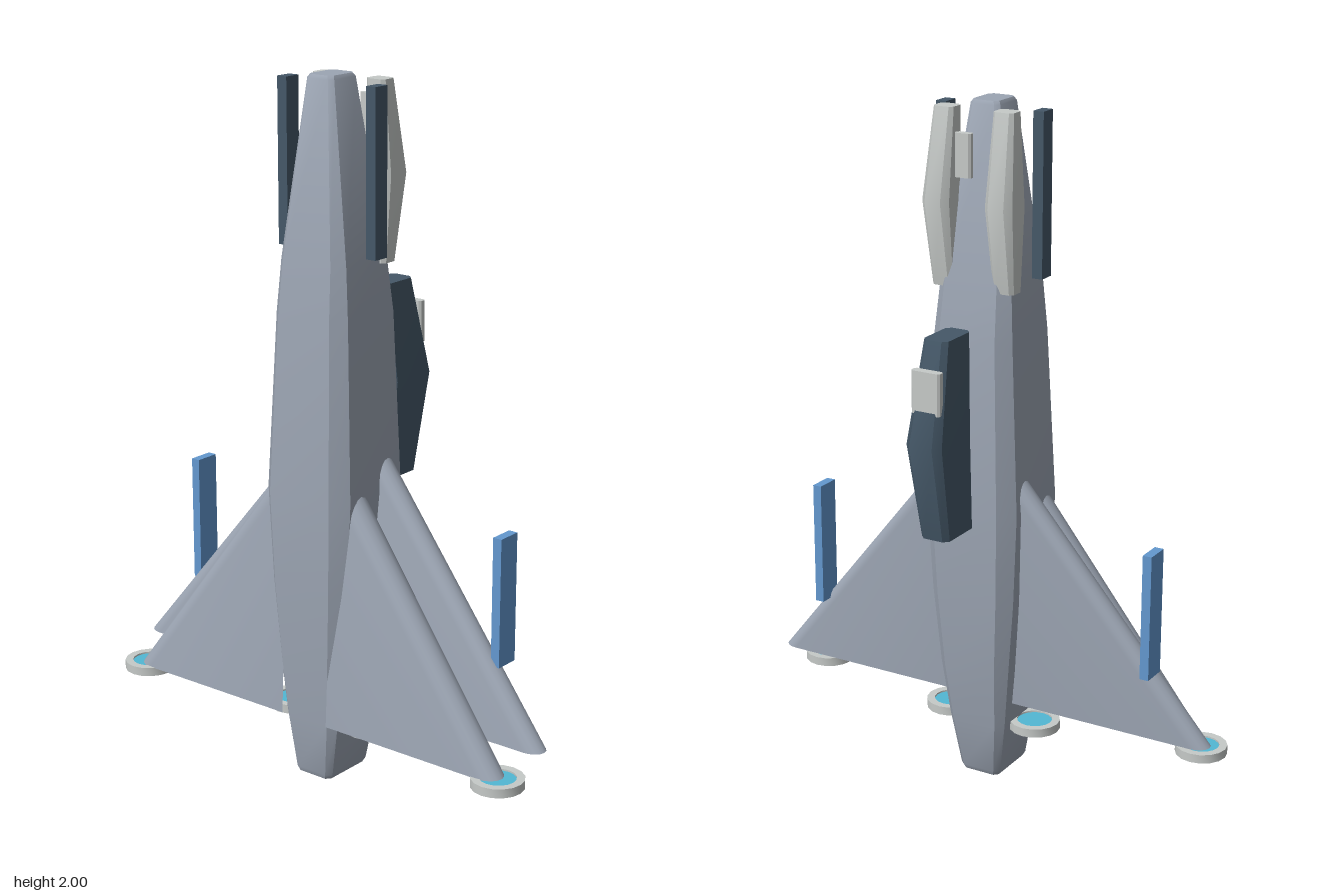
import * as THREE from 'three';
import { toCreasedNormals } from 'three/addons/utils/BufferGeometryUtils.js';

// Build a geometry from polygons (each a list of [x, y, z]), fanned into triangles
function fromPolygons(polys, crease = 0.6) {
  const out = [];
  for (const p of polys)
    for (let i = 1; i < p.length - 1; i++) out.push(...p[0], ...p[i], ...p[i + 1]);
  const g = new THREE.BufferGeometry();
  g.setAttribute('position', new THREE.Float32BufferAttribute(out, 3));
  return toCreasedNormals(g, crease);
}

// Loft chamfered rectangles upward; section = [y, x0, x1, z0, z1, chamfer]
function loft(sections) {
  const rings = sections.map(([y, x0, x1, z0, z1, c]) => [
    [x0 + c, y, z1], [x1 - c, y, z1], [x1, y, z1 - c], [x1, y, z0 + c],
    [x1 - c, y, z0], [x0 + c, y, z0], [x0, y, z0 + c], [x0, y, z1 - c],
  ]);
  const polys = [[...rings[0]].reverse(), rings[rings.length - 1]];
  for (let i = 0; i < rings.length - 1; i++)
    for (let k = 0; k < 8; k++) {
      const n = (k + 1) % 8;
      polys.push([rings[i][k], rings[i][n], rings[i + 1][n], rings[i + 1][k]]);
    }
  return fromPolygons(polys);
}

// Delta wing: flat faces, square trailing edge, half-round leading edge
function wing(side, { tipX, trailY, slope, z, r, tilt }) {
  const x0 = 0.08, N = 8, norm = Math.hypot(1, slope);
  const at = (x, y, dz) => [side * x, y, z + dz - (y - trailY) * tilt];
  const root = [], tip = [];
  for (let j = 0; j <= N; j++) {
    const a = (j / N) * Math.PI;
    const d = r * (1 - Math.sin(a)) * norm, dz = r * Math.cos(a);
    root.push(at(x0, trailY + (tipX - x0) * slope - d, dz));
    tip.push(at(tipX - d / slope, trailY, dz));
  }
  const A = at(x0, trailY, r), B = at(x0, trailY, -r);
  const polys = [[A, tip[0], root[0]], [B, root[N], tip[N]], [A, B, ...[...tip].reverse()]];
  for (let j = 0; j < N; j++) polys.push([root[j], tip[j], tip[j + 1], root[j + 1]]);
  if (side < 0) polys.forEach((p) => p.reverse());
  return fromPolygons(polys);
}

export function createModel() {
  const model = new THREE.Group();
  const material = (name, color) => {
    const m = new THREE.MeshStandardMaterial({ color });
    m.name = name;
    return m;
  };
  const hullGrey = material('hull grey', 0x9ca5b3);
  const paleGrey = material('pale grey', 0xc6cac8);
  const slate = material('dark slate', 0x455868);
  const blue = material('fin blue', 0x6398cf);
  const cyan = material('engine cyan', 0x52b8d4);

  const add = (name, geometry, mat, x = 0, y = 0, z = 0) => {
    const mesh = new THREE.Mesh(geometry, mat);
    mesh.name = name;
    mesh.position.set(x, y, z);
    model.add(mesh);
    return mesh;
  };
  // Box given by its extents
  const box = (name, mat, x0, x1, y0, y1, z0, z1) =>
    add(name, new THREE.BoxGeometry(x1 - x0, y1 - y0, z1 - z0), mat,
      (x0 + x1) / 2, (y0 + y1) / 2, (z0 + z1) / 2);

  // Tapered hull, standing on its tail: [y, half width, back z, front z, chamfer]
  add('hull', loft([
    [0, 0.058, 0.04, 0.207, 0.012],
    [0.015, 0.066, 0.032, 0.213, 0.015],
    [0.18, 0.092, 0.005, 0.228, 0.022],
    [0.35, 0.112, -0.02, 0.24, 0.03],
    [0.58, 0.133, -0.037, 0.251, 0.037],
    [0.85, 0.147, -0.05, 0.258, 0.042],
    [1.35, 0.125, -0.035, 0.234, 0.036],
    [1.5, 0.113, -0.015, 0.22, 0.03],
    [1.99, 0.046, 0.054, 0.168, 0.012],
    [2, 0.04, 0.06, 0.162, 0.012],
  ].map(([y, w, z0, z1, c]) => [y, -w, w, z0, z1, c])), hullGrey);

  // Dark pod floating behind the hull, with its small plate
  add('backPod', loft([
    [0.825, -0.045, 0.045, -0.215, -0.066, 0.015],
    [1.11, -0.056, 0.056, -0.278, -0.09, 0.02],
    [1.395, -0.038, 0.038, -0.205, -0.07, 0.014],
  ]), slate);
  const plate = (y, w, h, d) => loft([[-h / 2, -w, w, -d, d, 0.006], [h / 2, -w, w, -d, d, 0.006]]);
  add('backPodPlate', plate(0, 0.045, 0.12, 0.013), paleGrey, 0, 1.26, -0.24);
  add('nosePlate', plate(0, 0.025, 0.12, 0.011), paleGrey, 0, 1.87, -0.047);

  // Engine ring and glowing disc shapes
  const ringGeo = toCreasedNormals(new THREE.LatheGeometry([
    [0.052, -0.013], [0.075, -0.013], [0.075, 0.013], [0.052, 0.013], [0.052, -0.013],
  ].map(([x, y]) => new THREE.Vector2(x, y)), 16), 0.6);
  const discGeo = new THREE.CylinderGeometry(0.053, 0.053, 0.016, 16);

  for (const side of [1, -1]) {
    const label = side > 0 ? 'left' : 'right';
    const sideBox = (name, mat, x0, x1, ...rest) =>
      box(name, mat, side > 0 ? x0 : -x1, side > 0 ? x1 : -x0, ...rest);

    // Staggered pair of delta wings
    add(label + 'FrontWing', wing(side,
      { tipX: 0.655, trailY: 0.185, slope: 1.333, z: 0.202, r: 0.043, tilt: 0.051 }), hullGrey);
    add(label + 'RearWing', wing(side,
      { tipX: 0.717, trailY: 0.24, slope: 1.226, z: 0.093, r: 0.036, tilt: 0.066 }), hullGrey);

    // Pale pods beside the nose
    add(label + 'NosePod', loft([
      [1.49, 0.064, 0.128, -0.008, 0.048, 0.01],
      [1.73, 0.056, 0.141, -0.05, 0.052, 0.018],
      [1.985, 0.062, 0.124, -0.006, 0.048, 0.01],
    ].map(([y, x0, x1, ...r]) => (side > 0 ? [y, x0, x1, ...r] : [y, -x1, -x0, ...r]))), paleGrey);

    // Dark rails at the nose and blue fins on the rear wings
    sideBox(label + 'NoseRail', slate, 0.136, 0.168, 1.52, 1.98, 0.086, 0.136);
    sideBox(label + 'WingFin', blue, 0.531, 0.558, 0.44, 0.81, 0.013, 0.087);

    // Engine rings under the wing tip and next to the tail
    for (const [name, x, y, z] of [['Outer', 0.641, 0.174, 0.202], ['Inner', 0.142, 0.164, 0.117]]) {
      add(label + name + 'EngineRing', ringGeo, paleGrey, side * x, y, z);
      add(label + name + 'EngineDisc', discGeo, cyan, side * x, y, z);
    }
  }
  return model;
}
